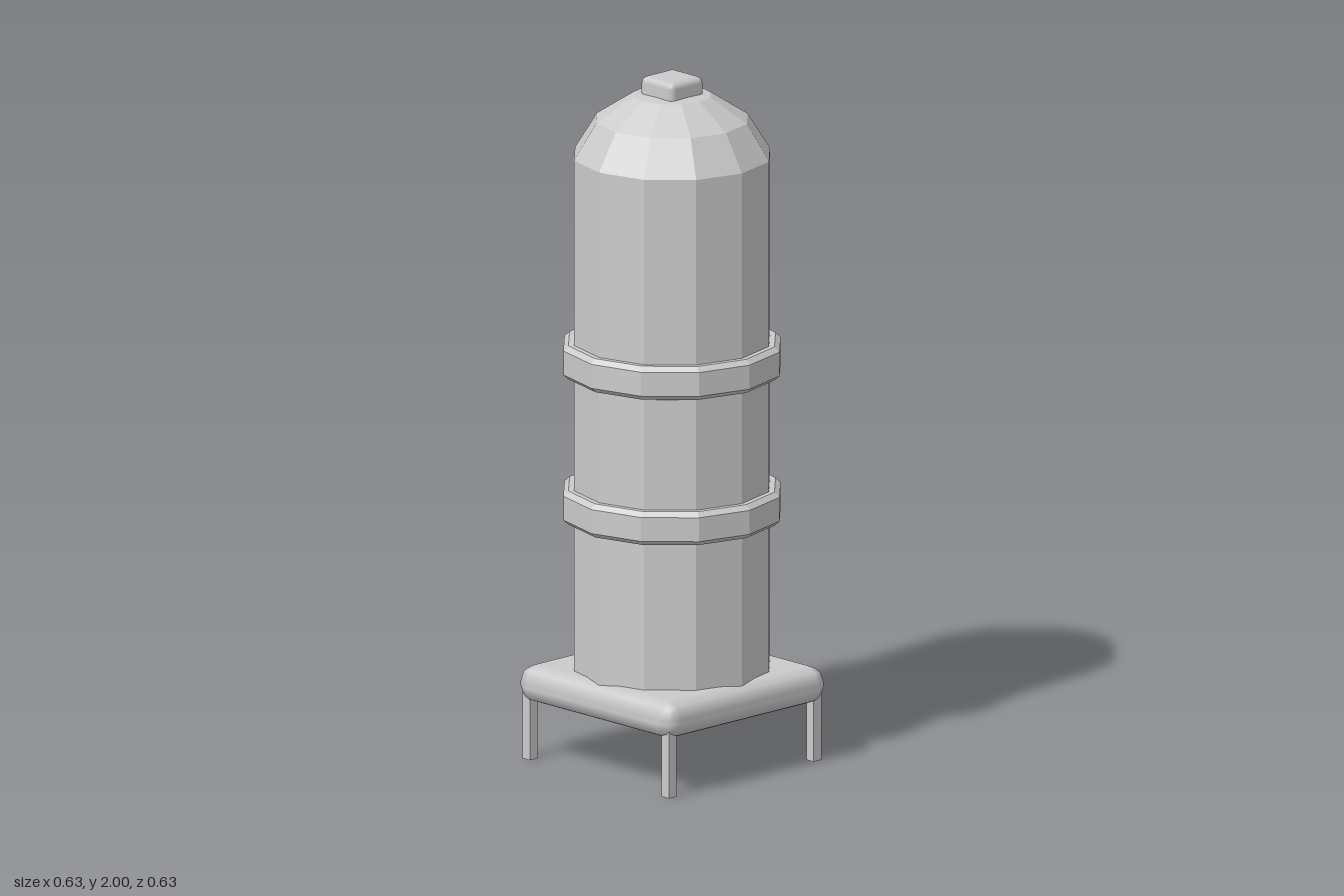
import * as THREE from 'three';
import { RoundedBoxGeometry } from 'three/addons/geometries/RoundedBoxGeometry.js';

const SIDES = 12;
const smooth = new THREE.MeshStandardMaterial({ color: 0xcccccc });
const faceted = new THREE.MeshStandardMaterial({ color: 0xcccccc, flatShading: true });

export function createModel() {
  const model = new THREE.Group();

  const add = (name, geometry, material, x = 0, y = 0, z = 0) => {
    const mesh = new THREE.Mesh(geometry, material);
    mesh.name = name;
    mesh.position.set(x, y, z);
    model.add(mesh);
  };
  // Twelve-sided turned part from [radius, height] pairs, bottom to top
  const turned = (points) =>
    new THREE.LatheGeometry(points.map(([r, y]) => new THREE.Vector2(r, y)), SIDES);

  // Tank body with domed top
  add('tank', turned([
    [0, 0.2], [0.285, 0.2], [0.285, 1.77], [0.22, 1.875], [0.113, 1.945], [0, 1.957],
  ]), faceted);

  // Two bevelled bands around the tank
  const band = turned([
    [0.27, -0.049], [0.301, -0.049], [0.316, -0.035],
    [0.316, 0.035], [0.301, 0.049], [0.27, 0.049],
  ]);
  add('lowerBand', band, faceted, 0, 0.755);
  add('upperBand', band, faceted, 0, 1.18);

  // Cap on the dome and small box on the left side
  add('topCap', new RoundedBoxGeometry(0.133, 0.07, 0.133, 1, 0.02), smooth, 0, 1.965);
  add('sideBox', new RoundedBoxGeometry(0.04, 0.1, 0.1, 1, 0.016), smooth, 0.284, 1.6);

  // Square base plate with softened edges
  add('basePlate', new RoundedBoxGeometry(0.634, 0.112, 0.634, 1, 0.05), smooth, 0, 0.221);

  // Four corner legs
  const leg = new THREE.BoxGeometry(0.03, 0.2, 0.03);
  for (const x of [-0.283, 0.283])
    for (const z of [-0.283, 0.283]) add('leg', leg, faceted, x, 0.1, z);

  return model;
}
